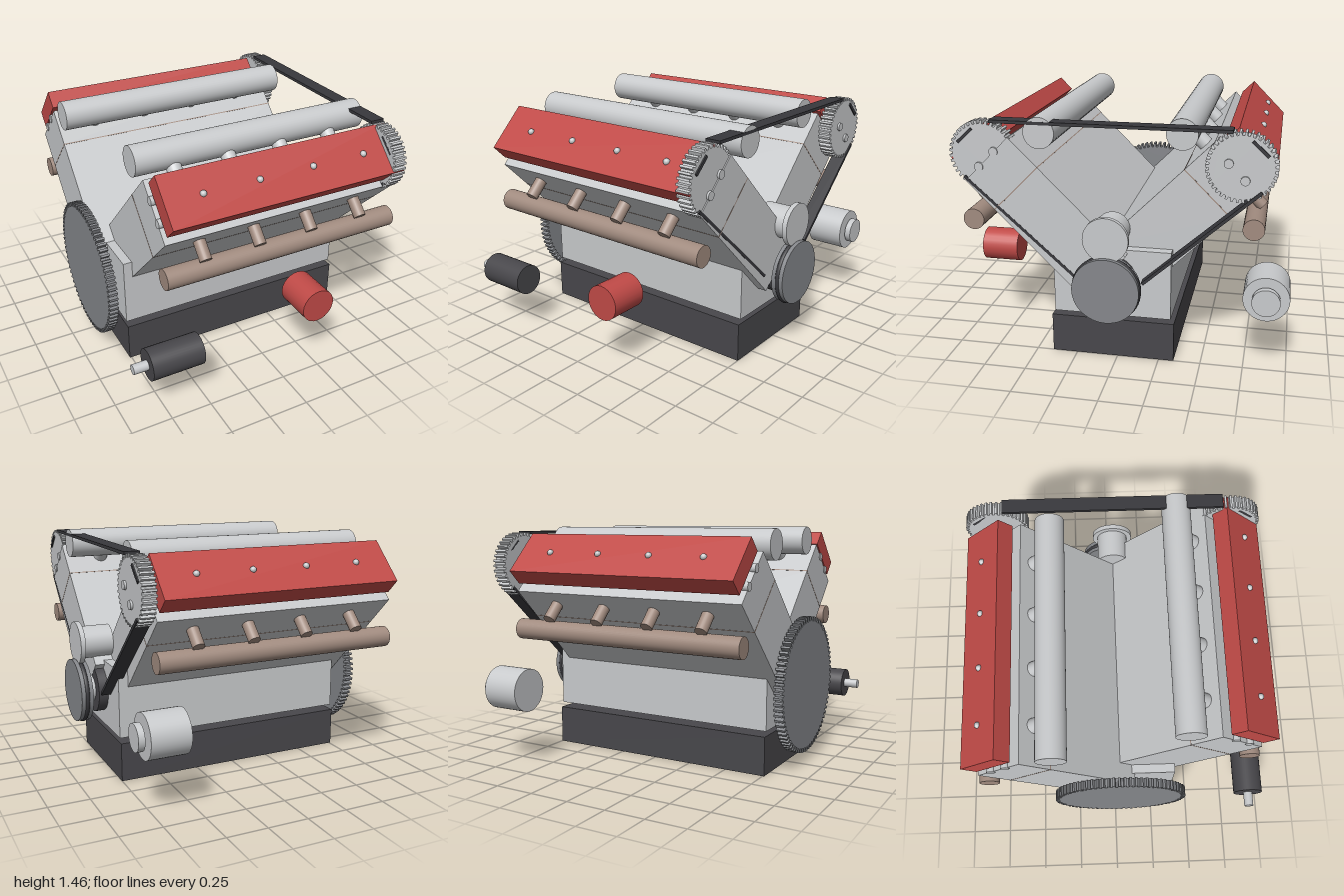
import * as THREE from 'three';

const mat = (name, color) => {
  const m = new THREE.MeshStandardMaterial({ color });
  m.name = name;
  return m;
};

export function createModel() {
  const alloy = mat('light alloy', 0xc8cacc);
  const steel = mat('dark steel', 0x85878b);
  const black = mat('black metal', 0x48474b);
  const rubber = mat('belt rubber', 0x38383c);
  const red = mat('red paint', 0xc04a47);
  const copper = mat('exhaust brown', 0xa18b7f);

  const CY = 0.5, CZ = 0.03; // crank axis
  const engine = new THREE.Group();
  engine.name = 'engine';

  const add = (parent, name, geo, material, x = 0, y = 0, z = 0) => {
    const m = new THREE.Mesh(geo, material);
    m.name = name;
    m.position.set(x, y, z);
    parent.add(m);
    return m;
  };
  // box given by its minimum and maximum corners
  const box = (p, name, material, x0, x1, y0, y1, z0, z1) =>
    add(p, name, new THREE.BoxGeometry(x1 - x0, y1 - y0, z1 - z0), material,
      (x0 + x1) / 2, (y0 + y1) / 2, (z0 + z1) / 2);
  // cylinder lying along x
  const rod = (p, name, material, r, x0, x1, y, z, seg = 40) =>
    add(p, name, new THREE.CylinderGeometry(r, r, x1 - x0, seg).rotateZ(-Math.PI / 2),
      material, (x0 + x1) / 2, y, z);
  // cylinder lying along z
  const pipe = (p, name, material, r, x, y, z0, z1) =>
    add(p, name, new THREE.CylinderGeometry(r, r, Math.abs(z1 - z0), 24).rotateX(Math.PI / 2),
      material, x, y, (z0 + z1) / 2);
  // toothed wheel with its axis along x
  const gear = (p, name, material, rootR, tipR, teeth, x0, x1, y, z) => {
    const s = new THREE.Shape();
    for (let i = 0; i < teeth; i++) {
      [[0, rootR], [0.4, rootR], [0.5, tipR], [0.9, tipR]].forEach(([f, r], k) => {
        const a = ((i + f) / teeth) * Math.PI * 2;
        s[i + k ? 'lineTo' : 'moveTo'](r * Math.cos(a), r * Math.sin(a));
      });
    }
    s.closePath();
    const g = new THREE.ExtrudeGeometry(s, { depth: x1 - x0, bevelEnabled: false });
    return add(p, name, g.rotateY(Math.PI / 2), material, x0, y, z);
  };

  // lower end
  box(engine, 'oilPan', black, -0.76, 0.75, 0, 0.24, -0.34, 0.4);
  box(engine, 'crankcase', alloy, -0.76, 0.75, 0.27, 0.69, -0.32, 0.38);
  box(engine, 'oilPump', alloy, 0.54, 0.69, 0.2, 0.3, -0.06, 0.12);
  rod(engine, 'crankshaft', alloy, 0.08, -0.87, 0.87, CY, CZ);
  gear(engine, 'flywheel', steel, 0.395, 0.423, 76, -0.885, -0.83, CY, CZ);

  // cylinder banks: local y runs up the bank, local z across it
  const HALF = 0.757, W = 0.1875;
  for (const [side, s, dx] of [['left bank', 1, 0.052], ['right bank', -1, -0.066]]) {
    const bank = new THREE.Group();
    bank.name = side;
    bank.position.set(dx, CY, CZ);
    bank.rotation.x = s * Math.PI / 4;
    engine.add(bank);

    box(bank, 'cylinderBlock', alloy, -HALF, HALF, 0.053, 0.764, -W, W);
    box(bank, 'headGasket', copper, -HALF - 0.001, HALF + 0.001, 0.762, 0.768, -W - 0.001, W + 0.001);
    box(bank, 'cylinderHead', alloy, -HALF, HALF, 0.766, 1.0, -W, W);
    box(bank, 'valveCover', red, -0.745, 0.745, 1.036, 1.149, -0.155, 0.155);

    const gearX = 0.72 - dx;
    gear(bank, 'camGear', alloy, 0.178, 0.197, 38, gearX, gearX + 0.082, 1.034, 0);
    for (const z of [-0.065, 0.065])
      rod(bank, 'camshaft', alloy, 0.026, -HALF - 0.004, 0.815 - dx, 1.0, z, 20);

    rod(bank, 'intakeManifold', alloy, 0.09, -HALF, HALF, 0.894, -s * 0.338);
    rod(bank, 'exhaustManifold', copper, 0.0625, -HALF, HALF, 0.811, s * 0.329);
    for (let i = 0; i < 4; i++) {
      const x = (i - 1.5) * 0.345;
      pipe(bank, 'intakeRunner', alloy, 0.045, x, 0.894, -s * 0.16, -s * 0.338);
      pipe(bank, 'exhaustRunner', copper, 0.036, x, 0.888, s * 0.16, s * 0.304);
      add(bank, 'coverBolt', new THREE.SphereGeometry(0.019, 16, 10), alloy, x, 1.15, 0);
    }
  }

  // timing belt as flat runs between points in the z, y plane
  const beltRun = (z0, y0, z1, y1) => {
    const len = Math.hypot(z1 - z0, y1 - y0);
    const m = add(engine, 'timingBelt', new THREE.BoxGeometry(0.09, 0.018, len), rubber,
      0.765, (y0 + y1) / 2, (z0 + z1) / 2);
    m.rotation.x = -Math.atan2(y1 - y0, z1 - z0);
  };
  beltRun(-0.65, 1.426, 0.71, 1.426);
  for (const s of [1, -1]) {
    beltRun(CZ + s * 0.785, 1.38, CZ + s * 0.873, 1.298);
    beltRun(CZ + s * 0.846, 1.1, CZ + s * 0.19, 0.51);
  }
  rod(engine, 'crankSprocket', black, 0.15, 0.72, 0.808, CY, CZ);

  // water pump and crank pulley
  rod(engine, 'waterPump', alloy, 0.1, 0.69, 0.88, 0.8, CZ);
  rod(engine, 'waterPumpPulley', alloy, 0.132, 0.875, 0.905, 0.8, CZ);
  rod(engine, 'crankPulley', steel, 0.195, 0.857, 0.93, CY, CZ, 48);
  add(engine, 'crankPulleyBelt', new THREE.TorusGeometry(0.187, 0.015, 12, 48).rotateY(Math.PI / 2),
    rubber, 0.893, CY, CZ);

  // starter, oil filter and alternator
  rod(engine, 'starterMotor', black, 0.095, -0.845, -0.525, 0.35, 0.892);
  rod(engine, 'starterShaft', alloy, 0.03, -0.935, -0.845, 0.35, 0.892, 20);
  pipe(engine, 'oilFilter', red, 0.106, 0.22, 0.456, 0.765, 1.0);
  rod(engine, 'alternator', alloy, 0.132, 0.575, 0.81, 0.477, -0.868);
  rod(engine, 'alternatorShaft', alloy, 0.03, 0.81, 0.83, 0.477, -0.868, 20);
  rod(engine, 'alternatorPulley', alloy, 0.08, 0.822, 0.86, 0.477, -0.868);

  return engine;
}
